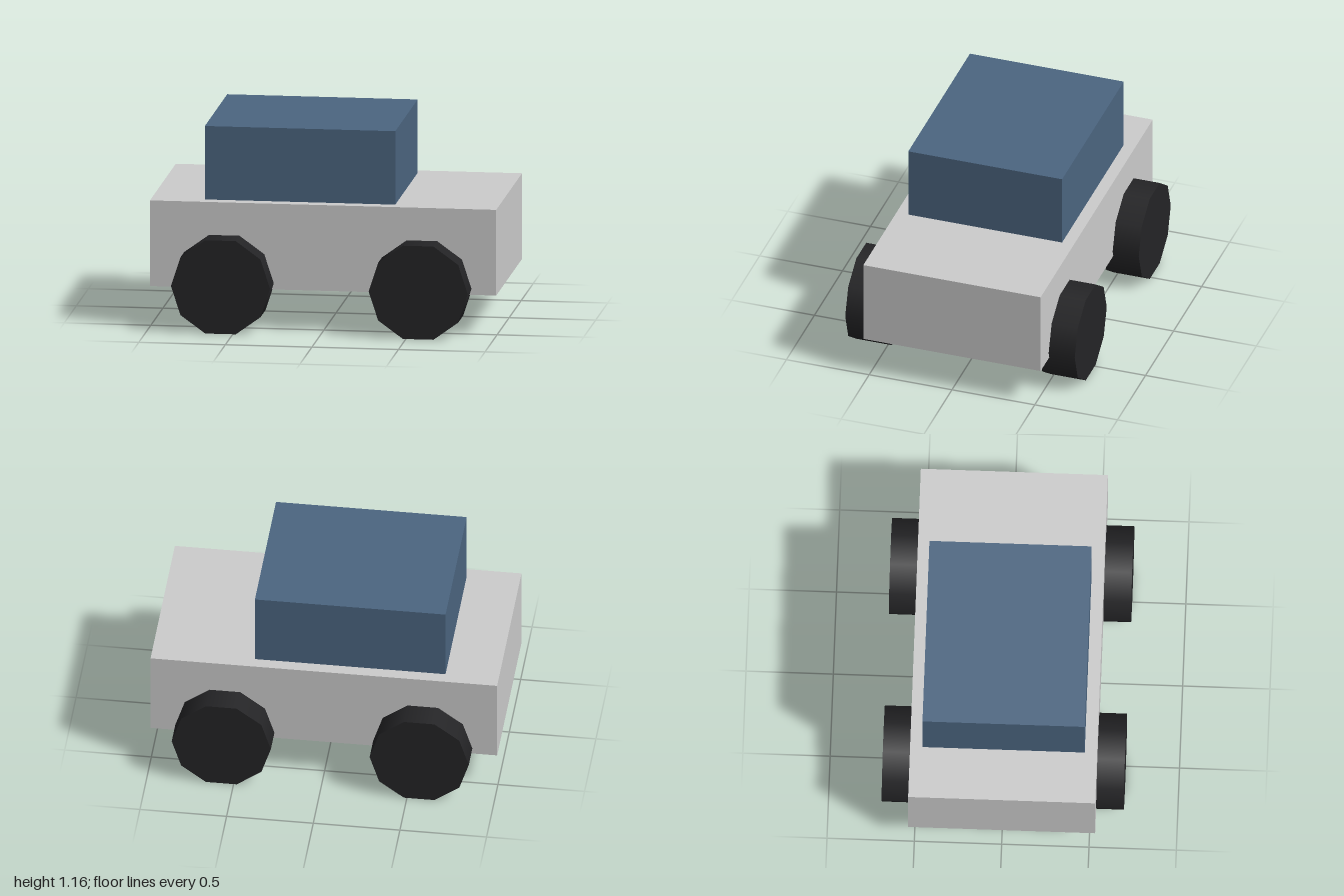
import * as THREE from 'three';

export function createModel() {
  const model = new THREE.Group();
  model.name = 'car';

  const bodyMaterial = new THREE.MeshStandardMaterial({ color: 0xcccccc });
  const cabinMaterial = new THREE.MeshStandardMaterial({ color: 0x4b6580 });
  const tyreMaterial = new THREE.MeshStandardMaterial({ color: 0x242426 });

  const add = (name, geometry, material, x, y, z) => {
    const mesh = new THREE.Mesh(geometry, material);
    mesh.name = name;
    mesh.position.set(x, y, z);
    model.add(mesh);
  };

  // Body and the cabin set back on top of it
  add('body', new THREE.BoxGeometry(2, 0.5, 1.071), bodyMaterial, 0, 0.486, 0);
  add('cabin', new THREE.BoxGeometry(1.1, 0.429, 0.929), cabinMaterial, -0.143, 0.95, 0);

  // Ten-sided wheels, axle along z, a flat side resting on the ground
  const wheel = new THREE.CylinderGeometry(0.286, 0.286, 0.214, 10, 1, false, Math.PI / 2);
  wheel.rotateX(Math.PI / 2);
  for (const [end, x] of [['left', 0.571], ['right', -0.571]]) {
    for (const [side, z] of [['Front', 0.586], ['Back', -0.586]]) {
      add(`${end}${side}Wheel`, wheel, tyreMaterial, x, 0.272, z);
    }
  }

  return model;
}
